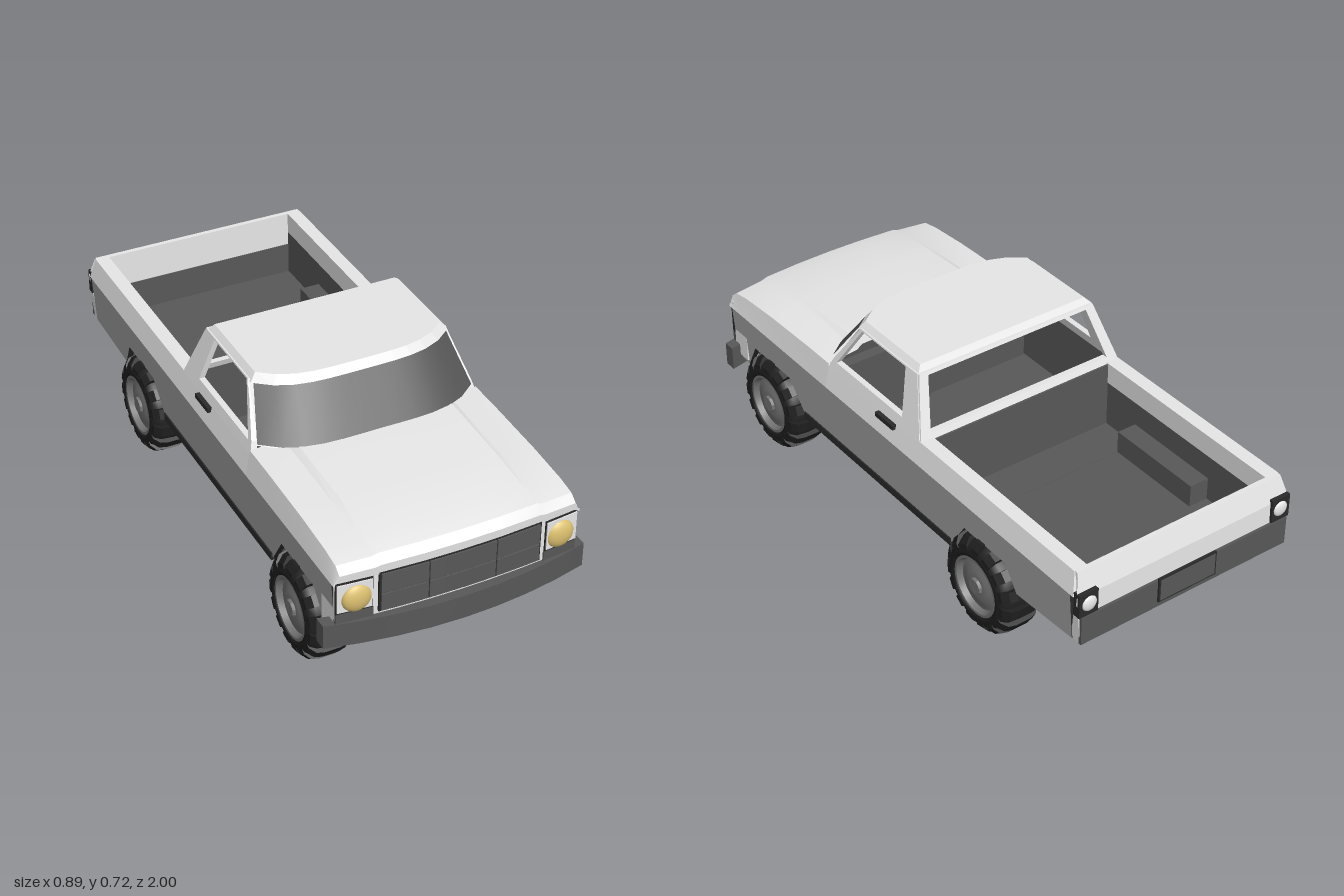
import * as THREE from 'three';
import { toCreasedNormals } from 'three/addons/utils/BufferGeometryUtils.js';

const mat = (name, color, side = THREE.FrontSide) => {
  const m = new THREE.MeshStandardMaterial({ color, side });
  m.name = name;
  return m;
};

export function createModel() {
  const truck = new THREE.Group();
  truck.name = 'pickupTruck';
  const body = mat('silver paint', 0xececec, THREE.DoubleSide);
  const lower = mat('lower body grey', 0xaaaaaa);
  const trim = mat('dark grey trim', 0x585858);
  const glass = mat('tinted glass', 0x555555, THREE.DoubleSide);
  const black = mat('black plastic', 0x2b2b2b);
  const chassis = mat('underbody grey', 0x4a4a4a);
  const rubber = mat('tyre rubber', 0x1f1f1f);
  const hub = mat('wheel grey', 0x757575);
  const amber = mat('headlight yellow', 0xdcc070);
  const white = mat('lamp white', 0xffffff);

  const add = (name, geo, material, parent = truck) => {
    const m = new THREE.Mesh(geo, material);
    m.name = name;
    parent.add(m);
    return m;
  };
  const box = (name, material, [x0, x1], [y0, y1], [z0, z1], parent) => {
    const g = new THREE.BoxGeometry(x1 - x0, y1 - y0, z1 - z0);
    g.translate((x0 + x1) / 2, (y0 + y1) / 2, (z0 + z1) / 2);
    return add(name, g, material, parent);
  };
  // Moves every vertex by a rule
  const warp = (g, fn) => {
    const p = g.attributes.position;
    for (let i = 0; i < p.count; i++) p.setXYZ(i, ...fn(p.getX(i), p.getY(i), p.getZ(i)));
    g.computeVertexNormals();
    return g;
  };
  const vecs = (pts, flip = 1) => pts.map(([a, b]) => new THREE.Vector2(a * flip, b));
  const extrude = (shape, depth) => new THREE.ExtrudeGeometry(shape, { depth, bevelEnabled: false });
  // Side slab from a (z, y) outline, its inner and outer x given as rules of y
  const slab = (pts, inner, outer, hole) => {
    const s = new THREE.Shape(vecs(pts, -1));
    if (hole) s.holes.push(new THREE.Path(vecs(hole, -1)));
    const g = extrude(s, 1).rotateY(Math.PI / 2);
    return warp(g, (x, y, z) => [x > 0.5 ? outer(y) : inner(y), y, z]);
  };
  // Box bowed backwards towards its ends
  const bowed = (name, material, [x0, x1], [y0, y1], [z0, z1], k, parent) => {
    const g = new THREE.BoxGeometry(x1 - x0, y1 - y0, z1 - z0, 8, 1, 1);
    g.translate((x0 + x1) / 2, (y0 + y1) / 2, (z0 + z1) / 2);
    return add(name, toCreasedNormals(warp(g, (x, y, z) => [x, y, z - k * x * x]), 0.5), material, parent);
  };
  // Open surface, fn(i, j) with i to the right and j from the far edge
  const patch = (cols, rows, fn) => {
    const g = new THREE.PlaneGeometry(1, 1, cols - 1, rows - 1);
    const p = g.attributes.position;
    for (let n = 0; n < p.count; n++) p.setXYZ(n, ...fn(n % cols, Math.floor(n / cols)));
    return toCreasedNormals(g, 0.45);
  };

  // Wheel with chunky tyre, outer face towards +x
  const tyreGeo = new THREE.LatheGeometry(vecs([[0.085, 0.004], [0.12, 0], [0.14, 0.008], [0.153, 0.028],
    [0.157, 0.074], [0.153, 0.12], [0.14, 0.14], [0.12, 0.148], [0.105, 0.144], [0.1, 0.125]]), 32);
  tyreGeo.rotateZ(-Math.PI / 2);
  const hubGeo = new THREE.LatheGeometry(vecs([[0, 0.02], [0.1, 0.02], [0.106, 0.144], [0.096, 0.144], [0.088, 0.125],
    [0.07, 0.128], [0.05, 0.137], [0.03, 0.137], [0.026, 0.146], [0, 0.146]]), 28);
  hubGeo.rotateZ(-Math.PI / 2);
  const hubSharp = toCreasedNormals(hubGeo, 0.5);
  // Lug outline across the tread, rounded at the shoulders
  const lugGeo = extrude(new THREE.Shape(vecs([[0.003, 0.125], [0.145, 0.125], [0.144, 0.143], [0.126, 0.164],
    [0.1, 0.17], [0.048, 0.17], [0.022, 0.164], [0.004, 0.143]])), 0.036).translate(0, 0, -0.018);
  const wheel = (name, z, parent) => {
    const w = new THREE.Group();
    w.name = name;
    w.position.set(0.288, 0.17, z);
    add('tyre', tyreGeo, rubber, w);
    add('hub', hubSharp, hub, w);
    for (let i = 0; i < 15; i++) add('treadLug', lugGeo, rubber, w).rotation.x = (i / 15) * Math.PI * 2;
    parent.add(w);
  };

  const lowerX = y => 0.397 + (y - 0.21) * 0.068;
  const upperX = y => 0.412 - (y - 0.43) * 0.25;
  const cabX = y => 0.394 - (y - 0.505) * 0.27;
  const rearArch = [[-0.34, 0.215], [-0.42, 0.33], [-0.63, 0.33], [-0.68, 0.24]];

  // Everything that exists on both sides
  for (const s of [1, -1]) {
    const side = new THREE.Group();
    side.name = s > 0 ? 'leftSide' : 'rightSide';
    side.scale.x = s;
    truck.add(side);

    add('lowerSidePanel', slab([[0.93, 0.43], [0.93, 0.24], [0.86, 0.23], [0.8, 0.33], [0.58, 0.33], [0.5, 0.215],
      ...rearArch, [-0.95, 0.258], [-0.95, 0.43]], () => 0.38, lowerX), [lower, black], side);
    add('cabBeltPanel', slab([[0.42, 0.43], [0.42, 0.505], [-0.17, 0.505], [-0.17, 0.43]], () => 0.38, upperX), body, side);
    add('bedRail', slab([[-0.17, 0.43], [-0.17, 0.505], [-0.945, 0.505], [-0.965, 0.43]], () => 0.345, upperX), body, side);
    add('bedLiner', slab([[-0.17, 0.43], [-0.17, 0.25], [-0.34, 0.25], ...rearArch.slice(1), [-0.94, 0.26], [-0.94, 0.43]],
      () => 0.346, () => 0.352), trim, side);
    box('doorLiner', trim, [0.374, 0.381], [0.25, 0.5], [-0.17, 0.36], side);
    box('sill', black, [0.37, 0.403], [0.208, 0.235], [-0.34, 0.5], side);
    add('cabSide', slab([[0.345, 0.5], [0.328, 0.54], [0.222, 0.695], [-0.092, 0.695], [-0.172, 0.5]],
      y => cabX(y) - 0.02, cabX, [[0.307, 0.535], [0.212, 0.69], [-0.03, 0.69], [-0.065, 0.535]]), body, side);
    box('doorHandle', black, [0.39, 0.41], [0.481, 0.498], [-0.045, 0.052], side);
    add('tailgateHalf', slab([[-0.94, 0.505], [-0.957, 0.505], [-0.98, 0.43], [-0.985, 0.26], [-0.94, 0.258]],
      () => 0, y => Math.min(lowerX(y), upperX(y)) - 0.002), body, side);

    // Wheels and their hollow housings
    wheel('frontWheel', 0.69, side);
    wheel('rearWheel', -0.51, side);
    for (const [name, z0, z1] of [['rearWheelHousing', -0.69, -0.33], ['frontWheelHousing', 0.5, 0.87]]) {
      box(name + 'Top', trim, [0.275, 0.385], [0.336, 0.346], [z0, z1], side);
      box(name + 'Wall', trim, [0.275, 0.283], [0.23, 0.34], [z0, z1], side);
      for (const z of [z0, z1 - 0.008]) box(name + 'End', trim, [0.275, 0.385], [0.24, 0.34], [z, z + 0.008], side);
    }

    // Headlight
    bowed('headlightSurround', black, [0.29, 0.406], [0.325, 0.44], [0.955, 0.97], 0.15, side);
    bowed('headlightBezel', body, [0.293, 0.403], [0.332, 0.432], [0.96, 0.974], 0.15, side);
    bowed('lowerFrontStrip', trim, [0.288, 0.406], [0.29, 0.325], [0.955, 0.97], 0.15, side);
    const lamp = new THREE.SphereGeometry(0.049, 24, 14);
    lamp.scale(1, 1, 0.5).translate(0.341, 0.375, 0.951);
    add('headlight', lamp, amber, side);

    // Tail light
    box('tailLightHousing', black, [0.338, 0.408], [0.362, 0.445], [-0.99, -0.962], side);
    const tail = new THREE.SphereGeometry(0.027, 18, 10);
    tail.scale(1, 1, 0.4).translate(0.371, 0.405, -0.989);
    add('tailLight', tail, white, side);
  }

  // Underbody with wheel notches, rising at the tail
  const half = [[0, 0.92], [0.385, 0.92], [0.385, 0.86], [0.28, 0.86], [0.28, 0.51], [0.385, 0.51],
    [0.385, -0.34], [0.28, -0.34], [0.28, -0.68], [0.385, -0.68], [0.385, -0.95], [0, -0.95]];
  const plan = [...half, ...half.slice(1, -1).reverse().map(([x, z]) => [-x, z])];
  const under = extrude(new THREE.Shape(vecs(plan)), 1).rotateX(Math.PI / 2);
  add('underbody', warp(under, (x, y, z) =>
    [x, y > -0.5 ? 0.262 : z < -0.9 ? 0.256 : z < -0.6 ? 0.24 : 0.218, z]), chassis);
  box('bedAndCabFloor', trim, [-0.28, 0.28], [0.258, 0.266], [-0.942, 0.4]);
  box('cabFloor', trim, [-0.38, 0.38], [0.258, 0.267], [-0.33, 0.4]);
  box('bedTailFloor', trim, [-0.35, 0.35], [0.258, 0.267], [-0.942, -0.68]);
  box('bedFrontWall', trim, [-0.38, 0.38], [0.26, 0.5], [-0.185, -0.165]);
  box('tailgateLiner', trim, [-0.346, 0.346], [0.26, 0.38], [-0.942, -0.937]);
  box('dashboard', trim, [-0.37, 0.37], [0.26, 0.51], [0.3, 0.34]);

  // Hood and fender tops: half-width, drop below the centre line
  const hoodCols = [[0.412, 1], [0.395, 0.028], [0.285, 0.018], [0.264, 0.003], [0.13, 0.001], [0, 0]];
  const across = [...hoodCols.map(([x, d]) => [-x, d]), ...hoodCols.slice(0, -1).reverse()];
  const hoodRows = [[0.34, 0.545], [0.45, 0.541], [0.7, 0.53], [0.88, 0.515], [0.945, 0.5], [0.972, 0.475], [0.97, 0.44]];
  add('hood', patch(across.length, hoodRows.length, (i, j) => {
    const [x, d] = across[i];
    const [z, y] = hoodRows[j];
    const fade = d === 1 ? 1 : 1 - j * 0.14;
    return [x, Math.max(j === 6 ? 0.44 : 0.43, y - d * fade), z - 0.15 * x * x * (j > 2 ? 1 : 0)];
  }), body);

  // Roof with a front edge that wraps round at the corners, tapering to its top
  const roofPts = [[-0.342, -0.095], [0.342, -0.095]];
  for (let i = 0; i <= 12; i++) {
    const u = 1 - i / 6;
    roofPts.push([0.342 * u, 0.322 - 0.085 * u ** 4]);
  }
  const roof = extrude(new THREE.Shape(vecs(roofPts)), 1).rotateX(Math.PI / 2);
  add('roof', warp(roof, (x, y, z) => (y > -0.5
    ? [x * 0.94, 0.715, 0.1 + (z - 0.1) * 0.91] : [x, 0.689, z])), body);

  // Windscreen, with a painted frame behind its edges
  const screen = (lo, hi, grow, dz) => patch(13, 2, (i, j) => {
    const u = i / 6 - 1;
    return j === 0 ? [u * (0.335 + grow), hi, 0.322 - 0.08 * u ** 4 + dz]
      : [u * (0.374 + grow), lo, 0.442 - 0.095 * u ** 4 + dz];
  });
  add('windscreenFrame', screen(0.525, 0.695, 0.01, -0.022), body);
  add('windscreen', screen(0.538, 0.689, 0, 0), glass);

  // Open rear window frame, leaning forwards
  const rear = new THREE.Shape(vecs([[-0.394, 0.495], [0.394, 0.495], [0.341, 0.695], [-0.341, 0.695]]));
  rear.holes.push(new THREE.Path(vecs([[-0.35, 0.52], [-0.31, 0.685], [0.31, 0.685], [0.35, 0.52]])));
  add('rearWindowFrame', warp(extrude(rear, 0.02), (x, y, z) => [x, y, z - 0.178 + (y - 0.5) * 0.4]), body);

  // Front end
  bowed('frontFascia', body, [-0.406, 0.406], [0.25, 0.45], [0.88, 0.965], 0.15);
  bowed('grilleBack', black, [-0.272, 0.272], [0.302, 0.446], [0.955, 0.972], 0.15);
  for (const [x0, x1] of [[-0.266, -0.115], [-0.111, 0.111], [0.115, 0.266]])
    for (const [y0, y1] of [[0.307, 0.367], [0.372, 0.441]])
      bowed('grillePanel', trim, [x0, x1], [y0, y1], [0.965, 0.977], 0.15);
  bowed('frontBumper', trim, [-0.443, 0.443], [0.207, 0.291], [0.955, 0.998], 0.3);

  // Rear end
  box('rearBumperBand', trim, [-0.4, 0.4], [0.26, 0.36], [-0.992, -0.98]);
  box('numberPlateEdge', black, [-0.112, 0.112], [0.28, 0.368], [-0.998, -0.99]);
  box('numberPlate', trim, [-0.106, 0.106], [0.286, 0.362], [-1, -0.995]);
  return truck;
}
